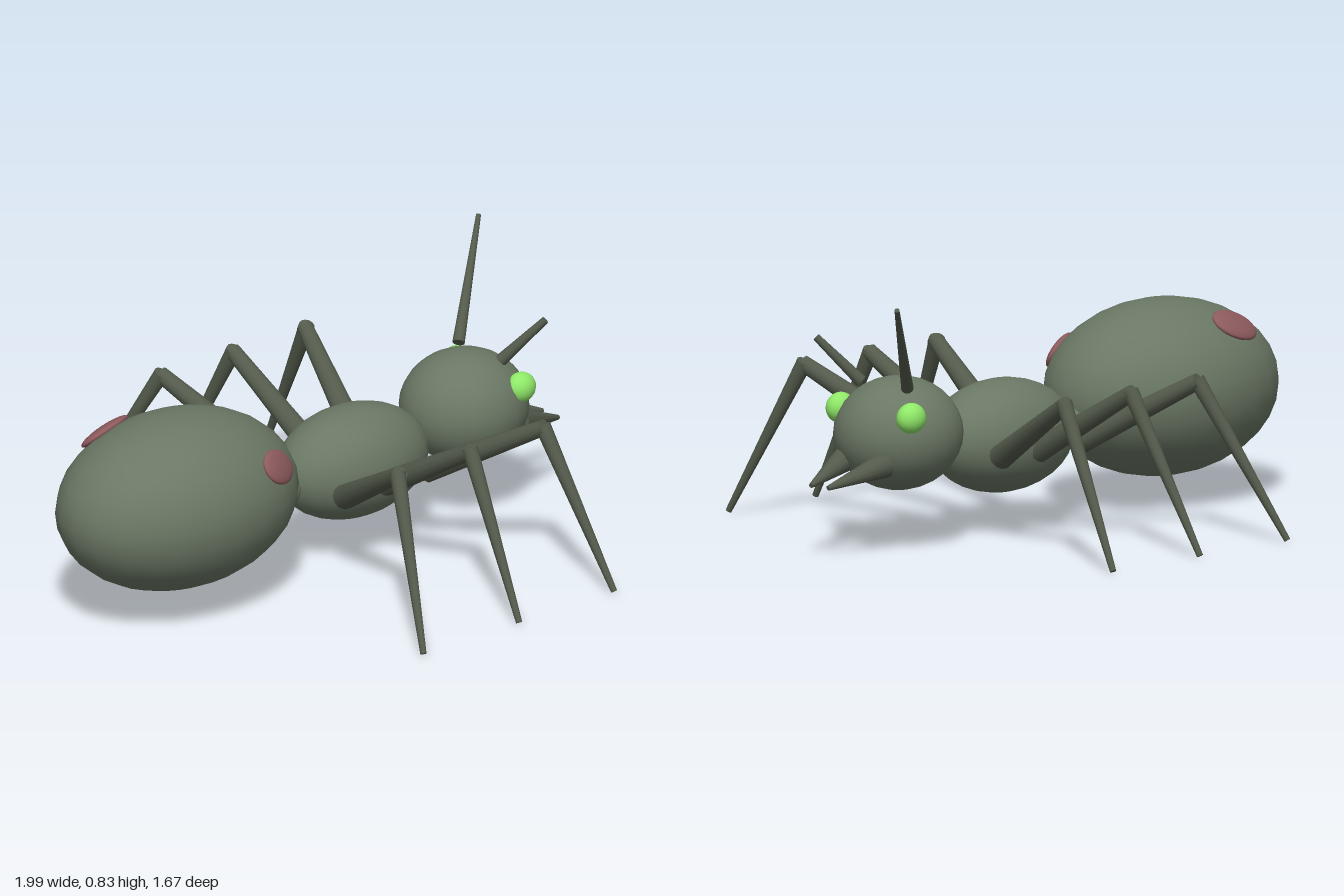
import * as THREE from 'three';

const bodyMat = new THREE.MeshStandardMaterial({ color: 0x6b7865 });
const limbMat = new THREE.MeshStandardMaterial({ color: 0x545b4c });
const eyeMat = new THREE.MeshStandardMaterial({ color: 0x8fe868 });
const spotMat = new THREE.MeshStandardMaterial({ color: 0x8e5b5e });

export function createModel() {
  const root = new THREE.Group();
  root.name = 'ant';

  const add = (name, geometry, material, parent = root) => {
    const mesh = new THREE.Mesh(geometry, material);
    mesh.name = name;
    parent.add(mesh);
    return mesh;
  };

  const ellipsoid = (name, center, radii, material) => {
    const mesh = add(name, new THREE.SphereGeometry(1, 24, 16), material);
    mesh.position.set(...center);
    mesh.scale.set(...radii);
    return mesh;
  };

  // Tapered round rod from point a (radius ra) to point b (radius rb)
  const rod = (name, a, b, ra, rb, material, parent) => {
    const start = new THREE.Vector3(...a);
    const end = new THREE.Vector3(...b);
    const dir = end.clone().sub(start);
    const mesh = add(name, new THREE.CylinderGeometry(rb, ra, dir.length(), 12), material, parent);
    mesh.position.copy(start).add(end).multiplyScalar(0.5);
    mesh.quaternion.setFromUnitVectors(new THREE.Vector3(0, 1, 0), dir.normalize());
    return mesh;
  };

  // Body segments along x, head toward +x
  const abdomenCenter = [-0.57, 0.365, 0];
  const abdomenRadii = [0.43, 0.28, 0.312];
  ellipsoid('abdomen', abdomenCenter, abdomenRadii, bodyMat);
  ellipsoid('waist', [-0.14, 0.285, 0], [0.07, 0.068, 0.068], bodyMat);
  ellipsoid('thorax', [0.16, 0.3, 0], [0.28, 0.18, 0.18], bodyMat);
  ellipsoid('head', [0.63, 0.365, 0], [0.21, 0.18, 0.2], bodyMat);

  // Flat oval spots lying on the abdomen surface
  const spot = (center, length, width) => {
    const mesh = ellipsoid('abdomenSpot', center, [length, width, 0.02], spotMat);
    const normal = new THREE.Vector3(
      ...center.map((v, i) => (v - abdomenCenter[i]) / abdomenRadii[i] ** 2)
    ).normalize();
    const along = new THREE.Vector3(1, 0, 0).addScaledVector(normal, -normal.x).normalize();
    const across = normal.clone().cross(along);
    mesh.quaternion.setFromRotationMatrix(new THREE.Matrix4().makeBasis(along, across, normal));
  };
  spot([-0.35, 0.48, 0.23], 0.083, 0.058);
  spot([-0.7, 0.565, -0.195], 0.1, 0.065);

  // Mirrored eyes, mandibles and legs
  const legs = [
    { name: 'frontLeg', hip: 0.33, knee: 0.465, foot: 0.527 },
    { name: 'middleLeg', hip: 0.16, knee: 0.162, foot: 0.13 },
    { name: 'rearLeg', hip: -0.01, knee: -0.14, foot: -0.27 },
  ];
  for (const s of [1, -1]) {
    ellipsoid('eye', [0.733, 0.44, s * 0.152], [0.052, 0.049, 0.042], eyeMat);
    rod('mandible', [0.78, 0.292, s * 0.085], [0.99, 0.236, s * 0.036], 0.042, 0.008, limbMat);
    for (const { name, hip, knee, foot } of legs) {
      const leg = new THREE.Group();
      leg.name = name;
      root.add(leg);
      rod('thigh', [hip, 0.268, s * 0.16], [knee, 0.5, s * 0.568], 0.04, 0.026, limbMat, leg);
      rod('shin', [knee, 0.505, s * 0.558], [foot, 0.007, s * 0.828], 0.026, 0.01, limbMat, leg);
    }
  }

  // Antennae: one short, one long
  rod('shortAntenna', [0.695, 0.525, 0.1], [0.793, 0.665, 0.2], 0.02, 0.012, limbMat);
  rod('longAntenna', [0.695, 0.525, -0.1], [0.955, 0.828, -0.3], 0.02, 0.008, limbMat);

  return root;
}
